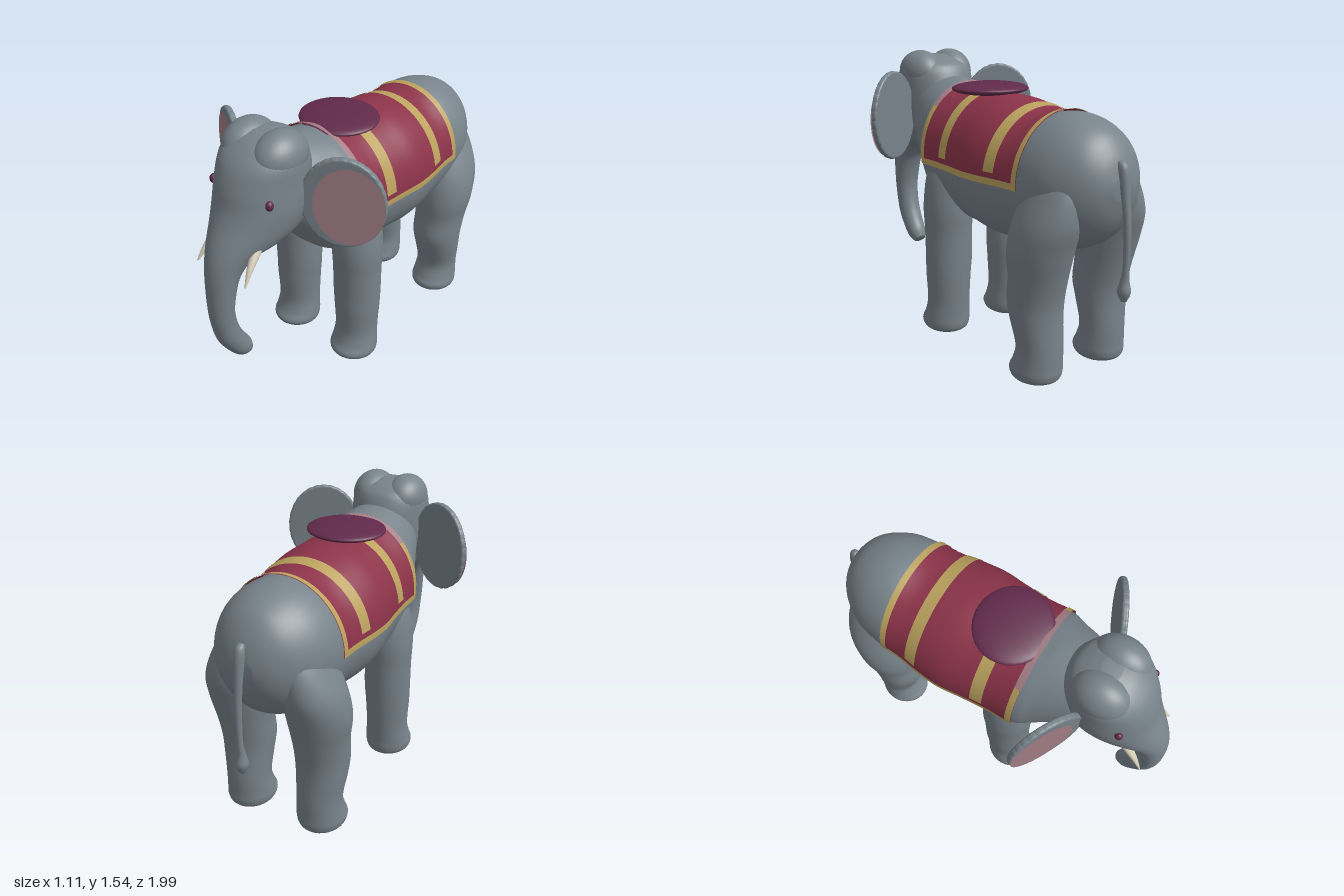
import * as THREE from 'three';

const mat = (name, color, side = THREE.FrontSide) => {
  const m = new THREE.MeshStandardMaterial({ color, side });
  m.name = name;
  return m;
};

// A section is [zFront, yFront, zBack, yBack, halfWidth, xCentre]; values are splined along the list.
function sampleSection(rows, t) {
  const f = t * (rows.length - 1);
  const i = Math.min(Math.floor(f), rows.length - 2), u = f - i;
  const at = (k, j) => rows[Math.max(0, Math.min(rows.length - 1, k))][j] ?? 0;
  return [0, 1, 2, 3, 4, 5].map((j) => {
    const p0 = at(i - 1, j), p1 = at(i, j), p2 = at(i + 1, j), p3 = at(i + 2, j);
    return p1 + 0.5 * u * (p2 - p0 + u * (2 * p0 - 5 * p1 + 4 * p2 - p3 + u * (3 * (p1 - p2) + p3 - p0)));
  });
}

// Smooth closed skin through elliptical sections
function loft(rows, sides = 32, steps = 5) {
  const pos = [], index = [], n = (rows.length - 1) * steps;
  for (let i = 0; i <= n; i++) {
    const [zf, yf, zb, yb, w, x] = sampleSection(rows, i / n);
    for (let j = 0; j < sides; j++) {
      const a = (j / sides) * Math.PI * 2, c = Math.cos(a) / 2;
      pos.push(x + w * Math.sin(a), (yf + yb) / 2 + (yf - yb) * c, (zf + zb) / 2 + (zf - zb) * c);
    }
  }
  for (let i = 0; i < n; i++) for (let j = 0; j < sides; j++) {
    const a = i * sides + j, b = i * sides + (j + 1) % sides;
    index.push(a, b, a + sides, b, b + sides, a + sides);
  }
  // end caps
  [[0, 0], [1, n * sides]].forEach(([end, start]) => {
    const [zf, yf, zb, yb, , x] = sampleSection(rows, end);
    const c = pos.length / 3;
    pos.push(x, (yf + yb) / 2, (zf + zb) / 2);
    for (let j = 0; j < sides; j++) {
      const a = start + j, b = start + (j + 1) % sides;
      if (end) index.push(c, a, b); else index.push(c, b, a);
    }
  });
  // turn the skin outward if its signed volume is negative
  let volume = 0;
  const v = [0, 1, 2].map(() => new THREE.Vector3());
  for (let i = 0; i < index.length; i += 3) {
    v.forEach((p, k) => p.fromArray(pos, index[i + k] * 3));
    volume += v[0].dot(v[1].cross(v[2]));
  }
  if (volume < 0) index.reverse();
  return skin(pos, index);
}

function skin(pos, index) {
  const g = new THREE.BufferGeometry();
  g.setAttribute('position', new THREE.Float32BufferAttribute(pos, 3));
  g.setIndex(index);
  g.computeVertexNormals();
  return g;
}

const BODY = [
  [-0.932, 1.06, -0.932, 0.96, 0.06], [-0.9, 1.16, -0.9, 0.85, 0.14], [-0.83, 1.255, -0.83, 0.75, 0.22],
  [-0.72, 1.31, -0.72, 0.68, 0.285], [-0.6, 1.328, -0.6, 0.655, 0.31], [-0.45, 1.312, -0.45, 0.65, 0.318],
  [-0.3, 1.335, -0.3, 0.63, 0.338], [-0.18, 1.35, -0.18, 0.625, 0.345], [-0.05, 1.352, -0.05, 0.64, 0.332],
  [0.1, 1.36, 0.1, 0.65, 0.32], [0.24, 1.385, 0.24, 0.68, 0.318], [0.31, 1.4, 0.34, 0.76, 0.28],
  [0.4, 1.41, 0.44, 0.87, 0.24], [0.5, 1.41, 0.53, 0.96, 0.2], [0.6, 1.39, 0.62, 1.0, 0.14],
];
const HEAD = [
  [0.62, 1.52, 0.53, 1.52, 0.06], [0.7, 1.49, 0.45, 1.49, 0.15], [0.785, 1.42, 0.39, 1.44, 0.205],
  [0.835, 1.32, 0.35, 1.3, 0.215], [0.862, 1.22, 0.36, 1.15, 0.217], [0.895, 1.14, 0.43, 1.03, 0.195],
  [0.93, 1.07, 0.56, 0.975, 0.16], [0.955, 1.01, 0.7, 0.965, 0.125], [0.975, 0.94, 0.79, 0.91, 0.1],
  [0.988, 0.85, 0.838, 0.84, 0.085], [0.995, 0.7, 0.87, 0.71, 0.072], [0.99, 0.6, 0.868, 0.62, 0.066],
  [0.97, 0.5, 0.85, 0.54, 0.064], [0.93, 0.42, 0.82, 0.47, 0.061], [0.87, 0.34, 0.785, 0.41, 0.055],
  [0.82, 0.315, 0.77, 0.36, 0.035],
];
const FRONT_LEG = [
  [0.24, 0.004, 0.12, 0.002, 0.06, 0.215], [0.305, 0.032, 0.07, 0.025, 0.115, 0.217], [0.328, 0.07, 0.056, 0.06, 0.13, 0.217],
  [0.3, 0.12, 0.055, 0.11, 0.126, 0.216], [0.28, 0.2, 0.05, 0.2, 0.118, 0.215], [0.285, 0.35, 0.04, 0.35, 0.125, 0.215],
  [0.285, 0.45, 0.035, 0.45, 0.13, 0.212], [0.29, 0.6, 0.03, 0.6, 0.13, 0.212], [0.3, 0.75, 0.02, 0.75, 0.132, 0.212],
  [0.29, 0.93, 0.03, 0.93, 0.115, 0.2], [0.25, 1.1, 0.07, 1.1, 0.06, 0.18],
];
const HIND_LEG = [
  [-0.54, 0.004, -0.66, 0.002, 0.06, 0.215], [-0.475, 0.032, -0.72, 0.025, 0.115, 0.217], [-0.457, 0.07, -0.735, 0.06, 0.13, 0.217],
  [-0.48, 0.115, -0.735, 0.105, 0.126, 0.216], [-0.505, 0.2, -0.735, 0.2, 0.12, 0.216], [-0.47, 0.33, -0.73, 0.33, 0.132, 0.22],
  [-0.445, 0.43, -0.735, 0.43, 0.14, 0.22], [-0.457, 0.55, -0.76, 0.55, 0.145, 0.222], [-0.455, 0.68, -0.8, 0.7, 0.16, 0.225],
  [-0.47, 0.82, -0.84, 0.85, 0.148, 0.215], [-0.51, 1.0, -0.82, 1.02, 0.09, 0.19], [-0.56, 1.12, -0.72, 1.12, 0.05, 0.17],
];
const TUSK = [
  [0.755, 1.1, 0.715, 1.05, 0.03, 0.115], [0.812, 1.04, 0.782, 1.0, 0.026, 0.13],
  [0.873, 0.965, 0.858, 0.938, 0.016, 0.148], [0.915, 0.89, 0.911, 0.885, 0.004, 0.163],
];
const TAIL = [
  [-0.9, 1.13, -0.918, 1.145, 0.016], [-0.905, 1.08, -0.955, 1.11, 0.027], [-0.935, 0.95, -0.975, 0.95, 0.022],
  [-0.95, 0.8, -0.987, 0.8, 0.018], [-0.955, 0.65, -0.987, 0.65, 0.017], [-0.943, 0.58, -0.987, 0.58, 0.023],
  [-0.93, 0.525, -0.997, 0.525, 0.032], [-0.948, 0.482, -0.978, 0.48, 0.015],
];

// Body section at a given z
function bodyAt(z) {
  let lo = 0, hi = 1;
  for (let i = 0; i < 30; i++) {
    const m = (lo + hi) / 2;
    if (sampleSection(BODY, m)[0] < z) lo = m; else hi = m;
  }
  const [, top, , bottom, w] = sampleSection(BODY, lo);
  return { c: (top + bottom) / 2, h: (top - bottom) / 2, w };
}

// Cloth following the body: over the back down to yLow, or on one side between yLow and yHigh
function clothPatch(z0, z1, yLow, lift, yHigh = null, side = 1) {
  const pos = [], index = [], nz = Math.max(3, Math.ceil((z1 - z0) / 0.015)), na = yHigh === null ? 48 : 8;
  for (let i = 0; i <= nz; i++) {
    const z = z0 + (z1 - z0) * i / nz, { c, h, w } = bodyAt(z);
    const angle = (y) => Math.acos(Math.max(-1, Math.min(1, (y - c) / (h + lift))));
    const a1 = angle(yLow), a0 = yHigh === null ? -a1 : angle(yHigh);
    for (let j = 0; j <= na; j++) {
      const a = a0 + (a1 - a0) * j / na;
      pos.push(side * (w + lift) * Math.sin(a), c + (h + lift) * Math.cos(a), z);
    }
  }
  for (let i = 0; i < nz; i++) for (let j = 0; j < na; j++) {
    const a = i * (na + 1) + j, b = a + na + 1;
    index.push(a, b, a + 1, a + 1, b, b + 1);
  }
  if (side < 0) index.reverse();
  return skin(pos, index);
}

export function createModel() {
  const group = new THREE.Group();
  const grey = mat('grey hide', 0x78838b), pink = mat('pink', 0xa47f86, THREE.DoubleSide);
  const red = mat('red cloth', 0x8c3349, THREE.DoubleSide), gold = mat('gold trim', 0xbba25e, THREE.DoubleSide);
  const purple = mat('purple', 0x612a4b), ivory = mat('ivory', 0xd6cdb8);
  const add = (name, geometry, material) => {
    const m = new THREE.Mesh(geometry, material);
    m.name = name;
    group.add(m);
    return m;
  };
  const ball = (name, material, p, s) => {
    const m = add(name, new THREE.SphereGeometry(1, 32, 20), material);
    m.position.set(...p);
    m.scale.set(...s);
  };
  const mirrored = (rows, s) => rows.map((r) => [...r.slice(0, 5), s * r[5]]);

  add('body', loft(BODY, 48), grey);
  add('headAndTrunk', loft(HEAD, 40), grey);
  add('tail', loft(TAIL, 16), grey);

  // Scalloped ear outline
  const outline = [];
  for (let i = 0; i < 120; i++) {
    const a = (i / 120) * Math.PI * 2, r = 1 + 0.012 * Math.abs(Math.sin(a * 15));
    outline.push(new THREE.Vector2(0.193 * r * Math.cos(a), 0.228 * r * Math.sin(a)));
  }
  const earGeometry = new THREE.ExtrudeGeometry(new THREE.Shape(outline), {
    depth: 0.012, bevelThickness: 0.011, bevelSize: 0.011, bevelSegments: 3,
  }).translate(0, 0, -0.006);

  for (const s of [1, -1]) {
    const side = s > 0 ? 'left' : 'right';
    add(side + 'FrontLeg', loft(mirrored(FRONT_LEG, s)), grey);
    add(side + 'HindLeg', loft(mirrored(HIND_LEG, s)), grey);
    add(side + 'Tusk', loft(mirrored(TUSK, s), 16), ivory);
    ball(side + 'Brow', grey, [s * 0.098, 1.42, 0.58], [0.113, 0.124, 0.15]);
    ball(side + 'Eye', purple, [s * 0.183, 1.265, 0.745], [0.018, 0.025, 0.02]);

    const ear = add(side + 'Ear', earGeometry, grey);
    ear.position.set(s * 0.365, 1.21, 0.455);
    ear.rotation.y = s * 0.49;
    const inner = new THREE.Mesh(new THREE.CircleGeometry(1, 48), pink);
    inner.name = side + 'InnerEar';
    inner.scale.set(0.172, 0.208, 1);
    inner.position.set(s * 0.03, -0.013, 0.02);
    ear.add(inner);

    // lower cloth border and front edge
    add(side + 'ClothBorder', clothPatch(-0.555, 0.24, 0.975, 0.012, 1.008, s), gold);
    add(side + 'ClothFrontEdge', clothPatch(0.207, 0.24, 0.975, 0.012, 1.28, s), gold);
  }

  // Saddle cloth with its bands
  add('saddleCloth', clothPatch(-0.555, 0.24, 0.975, 0.008), red);
  add('clothRearEdge', clothPatch(-0.555, -0.522, 0.975, 0.012), gold);
  add('clothRearBand', clothPatch(-0.395, -0.328, 1.035, 0.012), gold);
  add('clothFrontBand', clothPatch(0.002, 0.07, 1.035, 0.012), gold);
  add('clothFrontFringe', clothPatch(0.207, 0.245, 1.28, 0.012), pink);

  ball('saddle', purple, [0, 1.373, 0.055], [0.21, 0.034, 0.197]);
  return group;
}
